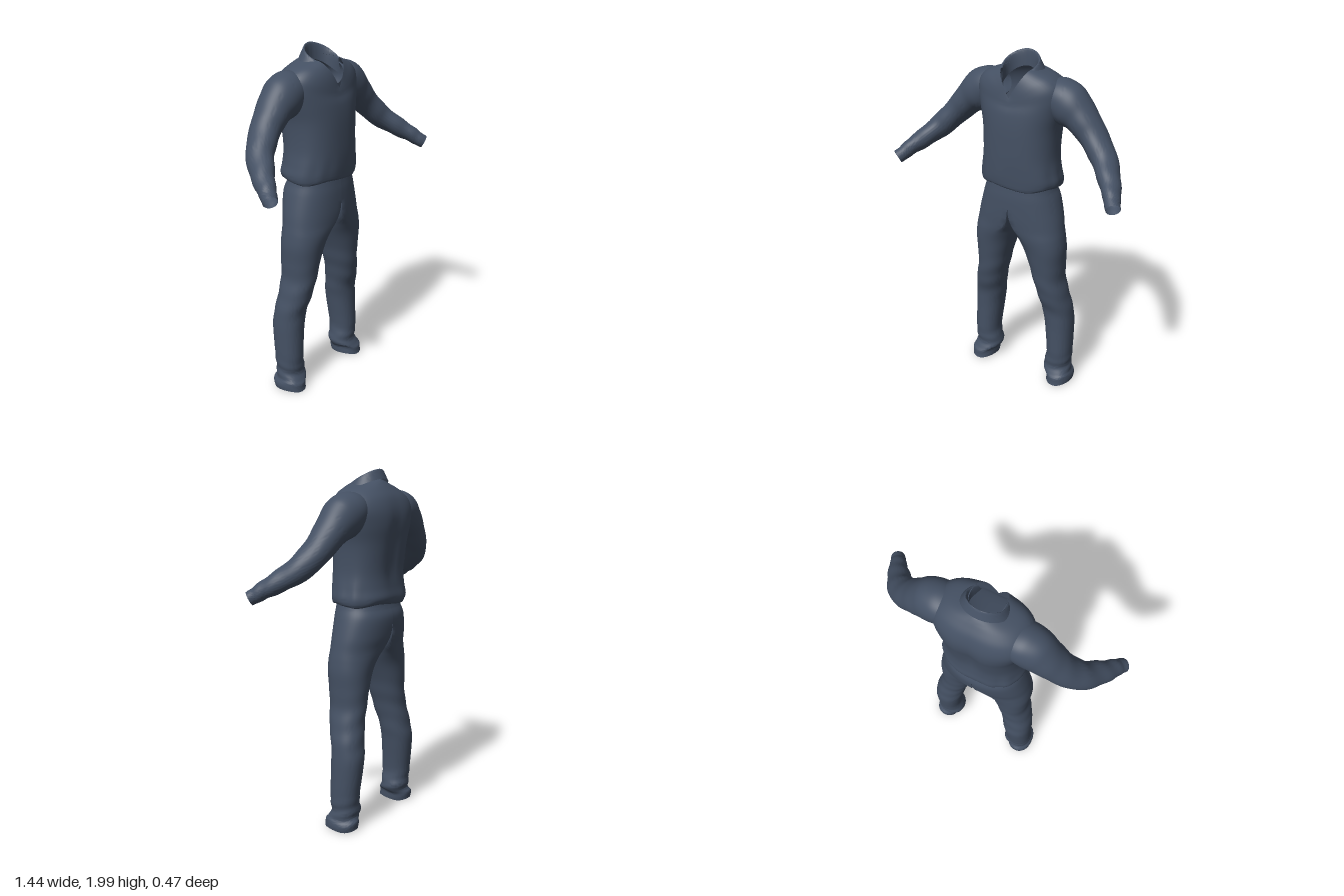
import * as THREE from 'three';
import { toCreasedNormals } from 'three/addons/utils/BufferGeometryUtils.js';

const SEG = 56;

// Smoothly resample rows of numbers (Catmull-Rom through every row)
function resample(rows, steps) {
  const out = [], last = rows.length - 1;
  for (let i = 0; i < last; i++) {
    const p = [rows[Math.max(i - 1, 0)], rows[i], rows[i + 1], rows[Math.min(i + 2, last)]];
    for (let s = 0; s < steps; s++) {
      const u = s / steps;
      out.push(rows[i].map((_, k) => {
        const [a, b, c, d] = p.map(r => r[k]);
        return b + 0.5 * u * (c - a + u * (2 * a - 5 * b + 4 * c - d + u * (3 * (b - c) + d - a)));
      }));
    }
  }
  out.push(rows[last]);
  return out;
}

// Skin a list of equally long point rings
function skin(rings) {
  const n = rings[0].length, index = [];
  for (let i = 0; i < rings.length - 1; i++) {
    for (let j = 0; j < n - 1; j++) {
      const a = i * n + j, b = a + 1, c = a + n, d = c + 1;
      index.push(a, c, b, b, c, d);
    }
  }
  const g = new THREE.BufferGeometry();
  g.setAttribute('position', new THREE.Float32BufferAttribute(rings.flat(2), 3));
  g.setIndex(index);
  return toCreasedNormals(g, 1.1);
}

// One closed ring; fn receives boxy cosine, boxy sine and the angle
function ring(power, fn) {
  const soft = v => Math.sign(v) * Math.pow(Math.abs(v), power);
  return Array.from({ length: SEG + 1 }, (_, j) => {
    const t = (j % SEG) / SEG * Math.PI * 2;
    return fn(soft(Math.cos(t)), soft(Math.sin(t)), t);
  });
}

const bump = (v, centre, width) => Math.exp(-(((v - centre) / width) ** 2));

// Shirt body: back, side and front heights, half width, front z, back z
function shirtBody() {
  const rows = [
    [1.272, 1.272, 1.272, 0.2, 0.095, -0.18],
    [1.275, 1.275, 1.275, 0.228, 0.11, -0.208],
    [1.31, 1.31, 1.31, 0.237, 0.116, -0.22],
    [1.37, 1.37, 1.37, 0.227, 0.12, -0.213],
    [1.46, 1.46, 1.46, 0.217, 0.122, -0.213],
    [1.6, 1.6, 1.6, 0.222, 0.12, -0.232],
    [1.7, 1.7, 1.69, 0.245, 0.112, -0.245],
    [1.78, 1.78, 1.735, 0.262, 0.1, -0.24],
    [1.85, 1.84, 1.757, 0.25, 0.096, -0.215],
    [1.9, 1.885, 1.765, 0.2, 0.094, -0.175],
    [1.935, 1.912, 1.772, 0.13, 0.092, -0.14],
    [1.95, 1.925, 1.778, 0.088, 0.09, -0.113],
  ];
  return skin(resample(rows, 5).map(([yb, ym, yf, w, zf, zb]) => ring(0.84, (c, s, t) => {
    const x = w * c, d = 1 - Math.abs(c);
    const y = ym + ((s > 0 ? yf : yb) - ym) * d;
    let z = (zf + zb) / 2 + (zf - zb) / 2 * s;
    // Spine hollow between the shoulder blades, and gathers near the hem
    if (s < 0) z += 0.02 * bump(x, 0, 0.05) * bump(y, 1.57, 0.2);
    const gather = 1 + 0.014 * Math.sin(9 * t + 2 * Math.sin(3 * t)) * bump(y, 1.33, 0.08);
    return [x * gather, y + 0.008 * Math.sin(4 * t) * bump(y, 1.28, 0.05), z * gather];
  })));
}

// Sleeve: centre x, y, z, then height radius and depth radius
function sleeve() {
  const rows = [
    [0.15, 1.81, -0.085, 0.07, 0.09],
    [0.21, 1.785, -0.08, 0.105, 0.11],
    [0.275, 1.745, -0.073, 0.118, 0.11],
    [0.345, 1.695, -0.068, 0.093, 0.098],
    [0.42, 1.62, -0.055, 0.076, 0.086],
    [0.51, 1.525, -0.015, 0.067, 0.077],
    [0.59, 1.447, 0.07, 0.055, 0.064],
    [0.64, 1.4, 0.14, 0.045, 0.051],
    [0.665, 1.37, 0.18, 0.04, 0.043],
    [0.685, 1.352, 0.208, 0.038, 0.038],
  ];
  const path = resample(rows, 7);
  const at = i => new THREE.Vector3(...path[i].slice(0, 3));
  return skin(path.map((row, i) => {
    const dir = at(Math.min(i + 1, path.length - 1)).sub(at(Math.max(i - 1, 0))).normalize();
    const n = new THREE.Vector3(0, 0, 1).addScaledVector(dir, -dir.z).normalize();
    const b = dir.clone().cross(n);
    return ring(1, (c, s, t) => {
      const crease = 1 + 0.035 * Math.sin(i * 0.75 + 2 * Math.sin(t)) * bump(i, 42, 18);
      return at(i).addScaledVector(b, c * row[3] * crease)
        .addScaledVector(n, s * row[4] * crease).toArray();
    });
  }));
}

// Trouser half: height, inner x, outer x, front z, back z, joining to the other half
function trouserLeg() {
  const rows = [
    [0.008, 0.2, 0.345, 0.043, -0.158, 0],
    [0.05, 0.195, 0.348, 0.04, -0.158, 0],
    [0.075, 0.175, 0.335, 0.022, -0.148, 0],
    [0.12, 0.167, 0.33, 0.008, -0.15, 0],
    [0.2, 0.184, 0.333, 0.012, -0.155, 0],
    [0.4, 0.162, 0.331, 0.01, -0.175, 0],
    [0.5, 0.145, 0.323, 0.017, -0.166, 0],
    [0.6, 0.128, 0.303, 0.045, -0.155, 0],
    [0.7, 0.102, 0.28, 0.06, -0.152, 0],
    [0.8, 0.075, 0.28, 0.07, -0.155, 0],
    [0.9, 0.038, 0.284, 0.083, -0.16, 0.02],
    [0.97, 0.013, 0.278, 0.095, -0.17, 0.25],
    [1.03, 0, 0.268, 0.104, -0.185, 0.7],
    [1.1, 0, 0.255, 0.11, -0.205, 0.95],
    [1.2, 0, 0.229, 0.11, -0.214, 1],
    [1.26, 0, 0.208, 0.105, -0.195, 1],
    [1.31, 0, 0.2, 0.1, -0.185, 1],
  ];
  return skin(resample(rows, 6).map(([y, inner, outer, zf, zb, join]) => ring(0.9, (c, s, t) => {
    const f = 1 + 0.035 * Math.sin(y * 85 + 2 * Math.sin(t)) * bump(y, 0.1, 0.1)
      + 0.018 * Math.sin(y * 48 + 2 * Math.cos(t)) * bump(y, 0.6, 0.16);
    const round = (inner + outer) / 2 + (outer - inner) / 2 * c * f;
    const half = outer * Math.max(c, 0);
    const hem = 0.008 * Math.sin(3 * t) * bump(y, 0.04, 0.04);
    return [round + (half - round) * join, Math.max(0, y + hem), (zf + zb) / 2 + (zf - zb) / 2 * s * f];
  })));
}

// Folded collar: stand, fold and fall swept round the neck, open at the front
function collar() {
  // radius scale and drop below the fold line
  const section = resample([[0.87, 0.09], [0.9, 0.035], [0.96, 0.004], [1.03, 0.002], [1.14, 0.022], [1.3, 0.052]], 3);
  const rings = [];
  for (let i = 0; i <= 48; i++) {
    const a = (i / 24 - 1) * 2.2, k = (1 - Math.cos(a)) / 2;
    const top = 1.998 - 0.1 * Math.pow(k, 0.9);
    const point = Math.pow(Math.abs(a) / 2.2, 6);
    rings.push(section.map(([r, drop]) => [
      0.1 * r * Math.sin(a),
      top - drop * (1 - 0.1 * point),
      -0.035 - 0.083 * r * Math.cos(a) + point * (0.01 + 0.35 * drop),
    ]));
  }
  return skin(rings);
}

export function createModel() {
  const model = new THREE.Group();
  model.name = 'workwear';
  const cloth = new THREE.MeshStandardMaterial({ color: 0x445063, side: THREE.DoubleSide });
  cloth.name = 'slate blue cloth';

  const add = (name, geometry, mirror = 1) => {
    const mesh = new THREE.Mesh(geometry, cloth);
    mesh.name = name;
    mesh.scale.x = mirror;
    model.add(mesh);
  };

  add('shirtBody', shirtBody());
  add('collar', collar());
  const arm = sleeve(), leg = trouserLeg();
  for (const [side, mirror] of [['left', 1], ['right', -1]]) {
    add(side + 'Sleeve', arm, mirror);
    add(side + 'TrouserLeg', leg, mirror);
  }
  return model;
}
